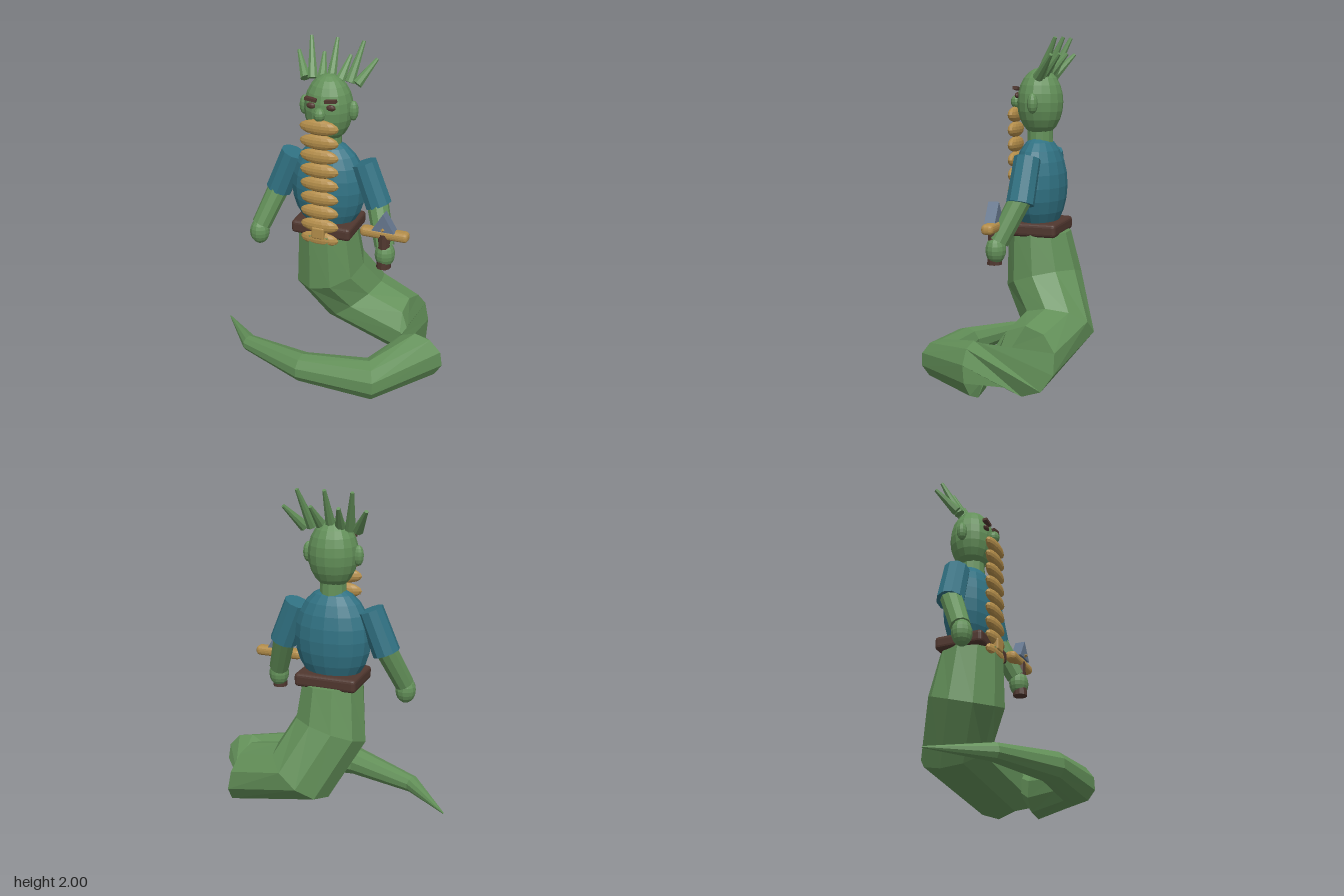
import * as THREE from 'three';
import { RoundedBoxGeometry } from 'three/addons/geometries/RoundedBoxGeometry.js';

const V = (x, y, z) => new THREE.Vector3(x, y, z);
const CX = -0.06; // middle line of the upper body
const CZ = -0.1;

function paint(name, color) {
  const m = new THREE.MeshStandardMaterial({ color, flatShading: true });
  m.name = name;
  return m;
}

// Faceted tail: rings of ten points swept along [centre, tangent, radius, twist in steps]
function tailGeometry(rings, sides = 10) {
  const pos = [], index = [];
  const u = V(1, 0, 0), turn = new THREE.Quaternion();
  let last = V(0, -1, 0);
  rings.forEach(([c, dir, r, twist = 0], i) => {
    const t = dir.clone().normalize();
    u.applyQuaternion(turn.setFromUnitVectors(last, t));
    const v = t.clone().cross(u);
    last = t;
    for (let j = 0; j < sides; j++) {
      const a = ((j + twist) / sides) * Math.PI * 2;
      const p = c.clone().addScaledVector(u, r * Math.cos(a)).addScaledVector(v, r * Math.sin(a));
      pos.push(p.x, p.y, p.z);
      if (i > 0) {
        const k = (j + 1) % sides, A = (i - 1) * sides, B = i * sides;
        index.push(A + j, A + k, B + j, A + k, B + k, B + j);
      }
    }
  });
  const g = new THREE.BufferGeometry();
  g.setAttribute('position', new THREE.Float32BufferAttribute(pos, 3));
  g.setIndex(index);
  g.computeVertexNormals();
  return g;
}

export function createModel() {
  const model = new THREE.Group();
  model.name = 'serpentWarrior';
  const skin = paint('green skin', 0x639059);
  const shirt = paint('teal shirt', 0x317283);
  const gold = paint('gold', 0xb38d4a);
  const brown = paint('dark brown', 0x50372f);
  const steel = paint('steel', 0x66788f);

  const add = (name, geo, mat, x = 0, y = 0, z = 0) => {
    const m = new THREE.Mesh(geo, mat);
    m.name = name;
    m.position.set(x, y, z);
    model.add(m);
    return m;
  };
  const ball = (name, mat, x, y, z, rx, ry, rz, w = 14, h = 10) =>
    add(name, new THREE.SphereGeometry(1, w, h).scale(rx, ry, rz), mat, x, y, z);
  // Tapered cylinder between two points
  const limb = (name, mat, a, b, ra, rb, sides = 10) => {
    const d = b.clone().sub(a);
    const m = add(name, new THREE.CylinderGeometry(rb, ra, d.length(), sides), mat);
    m.position.copy(a).addScaledVector(d, 0.5);
    m.quaternion.setFromUnitVectors(V(0, 1, 0), d.normalize());
    return m;
  };

  // Coiled tail, wrung to a waist at its sharpest bend
  add('tail', tailGeometry([
    [V(CX, 0.86, CZ), V(0, -1, 0), 0.005],
    [V(CX, 0.855, CZ), V(0, -1, 0), 0.188],
    [V(CX, 0.56, -0.13), V(0.25, -0.95, -0.28), 0.228],
    [V(0.075, 0.31, -0.252), V(0.63, -0.77, 0), 0.222],
    [V(0.49, 0.205, -0.18), V(1, 0.2, 0.15), 0.197],
    [V(0.59, 0.165, 0.065), V(-0.1, -0.13, 1), 0.16, 4],
    [V(0.38, 0.13, 0.363), V(-0.88, 0, 0.46), 0.122, 4],
    [V(-0.045, 0.115, 0.375), V(-0.98, 0, -0.15), 0.09, 4],
    [V(-0.475, 0.09, 0.225), V(-0.86, 0, -0.5), 0.052, 4],
    [V(-0.75, 0.07, -0.045), V(-0.86, 0, -0.5), 0.004, 4],
  ]), skin);

  // Torso, neck and belt
  ball('torso', shirt, CX, 1.127, CZ, 0.234, 0.3, 0.158, 16, 12);
  limb('neck', skin, V(CX, 1.35, CZ), V(CX, 1.5, CZ), 0.08, 0.075, 12);
  add('belt', new RoundedBoxGeometry(0.38, 0.082, 0.304, 2, 0.022), brown, CX, 0.88, CZ);
  add('buckle', new RoundedBoxGeometry(0.08, 0.075, 0.04, 2, 0.01), gold, CX, 0.882, 0.07);

  // Head and face
  ball('head', skin, CX, 1.622, CZ, 0.147, 0.202, 0.136, 16, 12);
  ball('nose', skin, CX, 1.622, 0.047, 0.036, 0.041, 0.036, 10, 8);
  for (const s of [-1, 1]) {
    ball('ear', skin, CX + s * 0.152, 1.62, CZ, 0.032, 0.06, 0.032, 10, 8);
    ball('eye', brown, CX + s * 0.061, 1.663, 0.022, 0.03, 0.018, 0.015, 10, 6);
    const brow = add('brow', new THREE.BoxGeometry(0.07, 0.018, 0.03), brown, CX + s * 0.061, 1.703, 0.026);
    brow.rotation.z = s * 0.13;
  }

  // Swept-back head spikes: [base offset x, base y, tip offset x, tip y]
  const spikes = [[0, 1.78, 0, 2], [0.055, 1.78, 0.083, 1.905], [0.115, 1.775, 0.163, 1.997], [0.16, 1.77, 0.245, 1.9]];
  spikes.forEach(([bx, by, tx, ty], i) => {
    for (const s of i ? [-1, 1] : [1])
      limb('headSpike', skin, V(CX + s * bx, by, -0.135), V(CX + s * tx, ty, -0.24), 0.032, 0.011, 8);
  });

  // Braided beard
  for (let i = 0; i < 9; i++)
    ball('beardBead', gold, CX, 1.548 - i * 0.0893, 0.053, 0.122, 0.047, 0.032, 14, 8);

  // Arms
  for (const s of [-1, 1]) {
    const at = (dx, y, z) => V(CX + s * dx, y, z);
    const elbow = at(0.325, 1.057, -0.085);
    limb('sleeve', shirt, at(0.225, 1.31, -0.095), elbow, 0.078, 0.082);
    limb('forearm', skin, at(0.31, 1.1, -0.09), at(0.403, 0.845, 0.02), 0.067, 0.06);
    ball('hand', skin, CX + s * 0.41, 0.8, 0.033, 0.062, 0.08, 0.06, 12, 10);
  }

  // Short sword in the left hand
  const SX = 0.347, SZ = 0.042;
  limb('swordGrip', brown, V(SX, 0.715, SZ), V(SX, 0.94, SZ), 0.044, 0.036);
  add('swordGuard', new RoundedBoxGeometry(0.297, 0.06, 0.072, 2, 0.024), gold, SX, 0.936, 0.037);
  const edge = new THREE.Shape([new THREE.Vector2(-0.07, 0), new THREE.Vector2(0.07, 0), new THREE.Vector2(0, 0.115)]);
  add('swordBlade', new THREE.ExtrudeGeometry(edge, { depth: 0.064, bevelEnabled: false }), steel, SX, 0.962, 0.014);
  limb('guardStud', gold, V(SX, 0.975, 0.06), V(SX, 0.98, 0.095), 0.018, 0.006, 4);

  return model;
}
